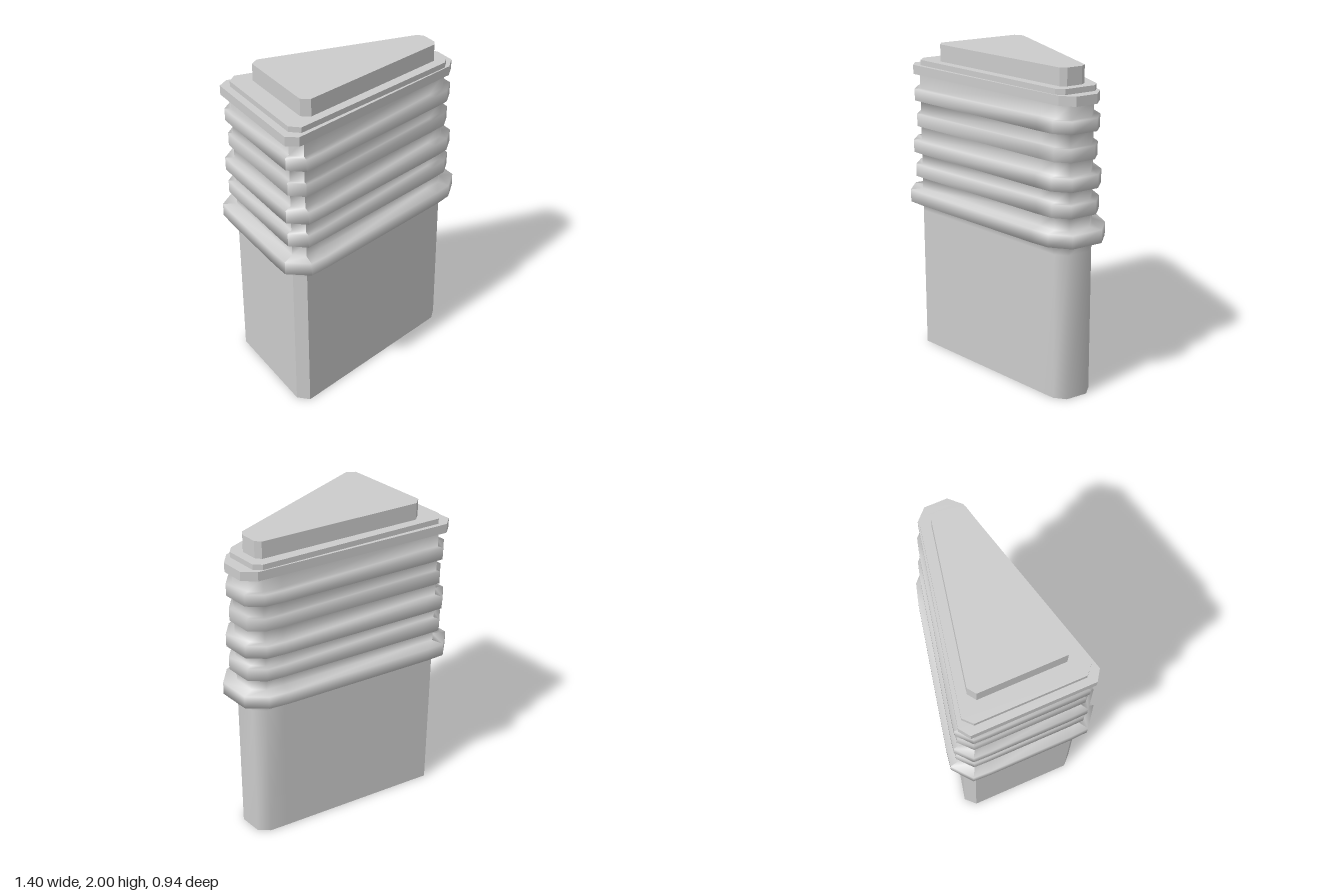
import * as THREE from 'three';

// Half outlines [x, z], from the wide end to the narrow end; mirrored in z
const BODY = [[-0.62, 0.25], [-0.62, 0.33], [-0.56, 0.39], [-0.45, 0.364], [0.45, 0.156], [0.56, 0.13], [0.62, 0.07]];
// How far each body point moves outward at the largest ridge
const FLARE = [[-0.08, 0.01], [-0.075, 0.045], [-0.015, 0.08], [-0.01, 0.086], [0.03, 0.079], [0.035, 0.07], [0.08, 0.03]];
const RIM = [[-0.665, 0.37], [-0.6, 0.415], [0.6, 0.14], [0.67, 0.07]];
const PLATE = [[-0.62, 0.33], [-0.565, 0.38], [0.565, 0.14], [0.605, 0.1]];
const PLINTH = [[-0.505, 0.265], [-0.455, 0.3], [0.525, 0.085], [0.55, 0.05]];

// Ridges: bottom, top, share of the full flare
const RIDGES = [
  [0.99, 1.07, 1],
  [1.155, 1.235, 0.5],
  [1.315, 1.395, 0.63],
  [1.48, 1.56, 0.32],
  [1.645, 1.72, 0.46],
];
const BODY_TOP = 1.81;

const mirror = (half) => [...half, ...[...half].reverse().map(([x, z]) => [x, -z])];

const toShape = (half) => new THREE.Shape(mirror(half).map(([x, z]) => new THREE.Vector2(x, -z)));

function addMesh(group, name, geometry, material) {
  const mesh = new THREE.Mesh(geometry, material);
  mesh.name = name;
  group.add(mesh);
}

// Hard-edged slab from y0 to y1
function slab(half, y0, y1) {
  const geometry = new THREE.ExtrudeGeometry(toShape(half), { depth: y1 - y0, bevelEnabled: false });
  return geometry.rotateX(-Math.PI / 2).translate(0, y0, 0);
}

// Wall strip through the given outline points, smooth within the strip
function wallStrip(columns, levels) {
  const outline = mirror(BODY), flare = mirror(FLARE);
  const positions = [], index = [];
  const n = columns.length;
  for (const [y, k] of levels) {
    for (const c of columns) {
      positions.push(outline[c][0] + flare[c][0] * k, y, outline[c][1] + flare[c][1] * k);
    }
  }
  for (let j = 0; j < levels.length - 1; j++) {
    for (let i = 0; i < n - 1; i++) {
      const a = j * n + i, d = a + n;
      index.push(a, a + 1, d + 1, a, d + 1, d);
    }
  }
  const geometry = new THREE.BufferGeometry();
  geometry.setAttribute('position', new THREE.Float32BufferAttribute(positions, 3));
  geometry.setIndex(index);
  geometry.computeVertexNormals();
  return geometry;
}

export function createModel() {
  const group = new THREE.Group();
  const material = new THREE.MeshStandardMaterial({ color: 0xcccccc });

  // Ridged body: the profile steps out and back in at every ridge
  const levels = [[0, 0], [0.92, 0]];
  for (const [y0, y1, k] of RIDGES) levels.push([y0, 0], [y0, k], [y1, k], [y1, 0]);
  levels.push([BODY_TOP, 0]);

  // Separate strips keep the wide-end corners sharp
  const strips = {
    bodySides: [2, 3, 4, 5, 6, 7, 8, 9, 10, 11],
    backCorner: [11, 12],
    wideEnd: [12, 13, 0, 1],
    frontCorner: [1, 2],
  };
  const body = new THREE.Group();
  body.name = 'ridgedBody';
  for (const [name, columns] of Object.entries(strips)) {
    addMesh(body, name, wallStrip(columns, levels), material);
  }
  addMesh(body, 'bodyBase', new THREE.ShapeGeometry(toShape(BODY)).rotateX(Math.PI / 2), material);
  group.add(body);

  // Stepped cap
  addMesh(group, 'capRim', slab(RIM, 1.805, 1.862), material);
  addMesh(group, 'capPlate', slab(PLATE, 1.862, 1.895), material);
  addMesh(group, 'capPlinth', slab(PLINTH, 1.895, 2), material);

  return group;
}
